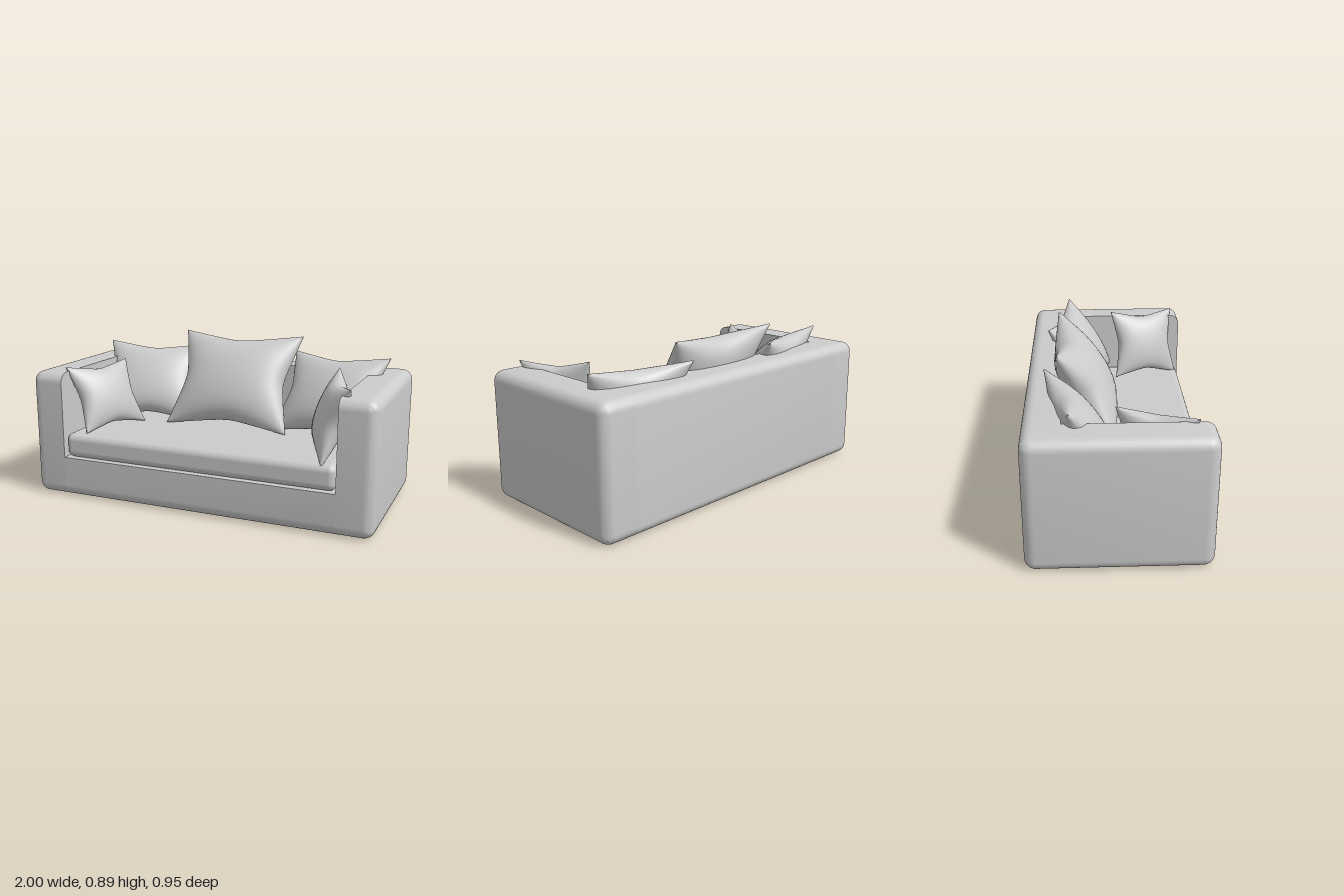
import * as THREE from 'three';
import { RoundedBoxGeometry } from 'three/addons/geometries/RoundedBoxGeometry.js';
import { mergeVertices, toCreasedNormals } from 'three/addons/utils/BufferGeometryUtils.js';

const material = new THREE.MeshStandardMaterial({ color: 0xcccccc });
const BACK = -0.28, ARM = 0.8, BASE = 0.23;

function addMesh(group, name, geometry) {
  const mesh = new THREE.Mesh(geometry, material);
  mesh.name = name;
  group.add(mesh);
  return mesh;
}

// One section of the rounded sofa body, cut flat at the given limits
function bodySection(min, max) {
  const g = new RoundedBoxGeometry(2, 0.72, 0.95, 5, 0.06);
  g.translate(0, 0.36, 0);
  const p = g.attributes.position;
  const v = new THREE.Vector3(), lo = new THREE.Vector3(...min), hi = new THREE.Vector3(...max);
  for (let i = 0; i < p.count; i++) {
    v.fromBufferAttribute(p, i).clamp(lo, hi);
    p.setXYZ(i, v.x, v.y, v.z);
  }
  return toCreasedNormals(g, 0.7);
}

// Pillow spanned by full width and height vectors, with pointed corners and drawn-in edges
function pillow(center, width, height, thickness) {
  const w = new THREE.Vector3(...width).multiplyScalar(0.5);
  const h = new THREE.Vector3(...height).multiplyScalar(0.5);
  const n = new THREE.Vector3().crossVectors(w, h).setLength(thickness);
  let g = new THREE.BoxGeometry(2, 2, 2, 24, 24, 1);
  g.deleteAttribute('uv');
  g.deleteAttribute('normal');
  const p = g.attributes.position;
  const pull = (t) => 0.22 * Math.max(0, 1.01 - Math.sqrt(t * t + 0.02));
  for (let i = 0; i < p.count; i++) {
    // even out the grid so it is denser towards the seam
    const u = Math.sin(p.getX(i) * Math.PI / 2), v = Math.sin(p.getY(i) * Math.PI / 2);
    const puff = Math.pow(Math.max(0, (1 - u * u) * (1 - v * v)), 0.55) + 0.04;
    p.setXYZ(i, u * (1 - u * u * pull(v)), v * (1 - v * v * pull(u)), p.getZ(i) * puff);
  }
  g.applyMatrix4(new THREE.Matrix4().makeBasis(w, h, n).setPosition(...center));
  g = mergeVertices(g, 1e-5);
  return toCreasedNormals(g, 0.9);
}

export function createModel() {
  const model = new THREE.Group();
  model.name = 'sofa';

  // Body: arms, back and base share one rounded outline
  addMesh(model, 'leftArm', bodySection([ARM, 0, -1], [1, 1, 1]));
  addMesh(model, 'rightArm', bodySection([-1, 0, -1], [-ARM, 1, 1]));
  addMesh(model, 'backrest', bodySection([-ARM, 0, -1], [ARM, 1, BACK]));
  addMesh(model, 'base', bodySection([-ARM, 0, BACK], [ARM, BASE, 1]));

  // Seat cushion
  const seat = new RoundedBoxGeometry(1.59, 0.14, 0.745, 5, 0.04);
  addMesh(model, 'seatCushion', seat).position.set(0, 0.3, 0.0925);

  // Back pillows
  addMesh(model, 'middleBackPillow',
    pillow([0, 0.63, -0.15], [0.75, 0, 0], [0, 0.52, -0.31], 0.125));
  addMesh(model, 'leftBackPillow',
    pillow([0.58, 0.585, -0.175], [0.59, 0.01, 0.12], [0.06, 0.43, -0.27], 0.1));
  addMesh(model, 'rightBackPillow',
    pillow([-0.56, 0.585, -0.175], [0.59, -0.01, -0.13], [-0.06, 0.43, -0.27], 0.1));

  // Small pillows leaning on the arms
  addMesh(model, 'leftArmPillow',
    pillow([0.7, 0.57, 0.235], [0.16, -0.03, 0.4], [0.13, 0.4, -0.03], 0.075));
  addMesh(model, 'rightArmPillow',
    pillow([-0.67, 0.555, 0.205], [-0.16, 0, 0.4], [-0.14, 0.37, -0.03], 0.075));

  return model;
}
